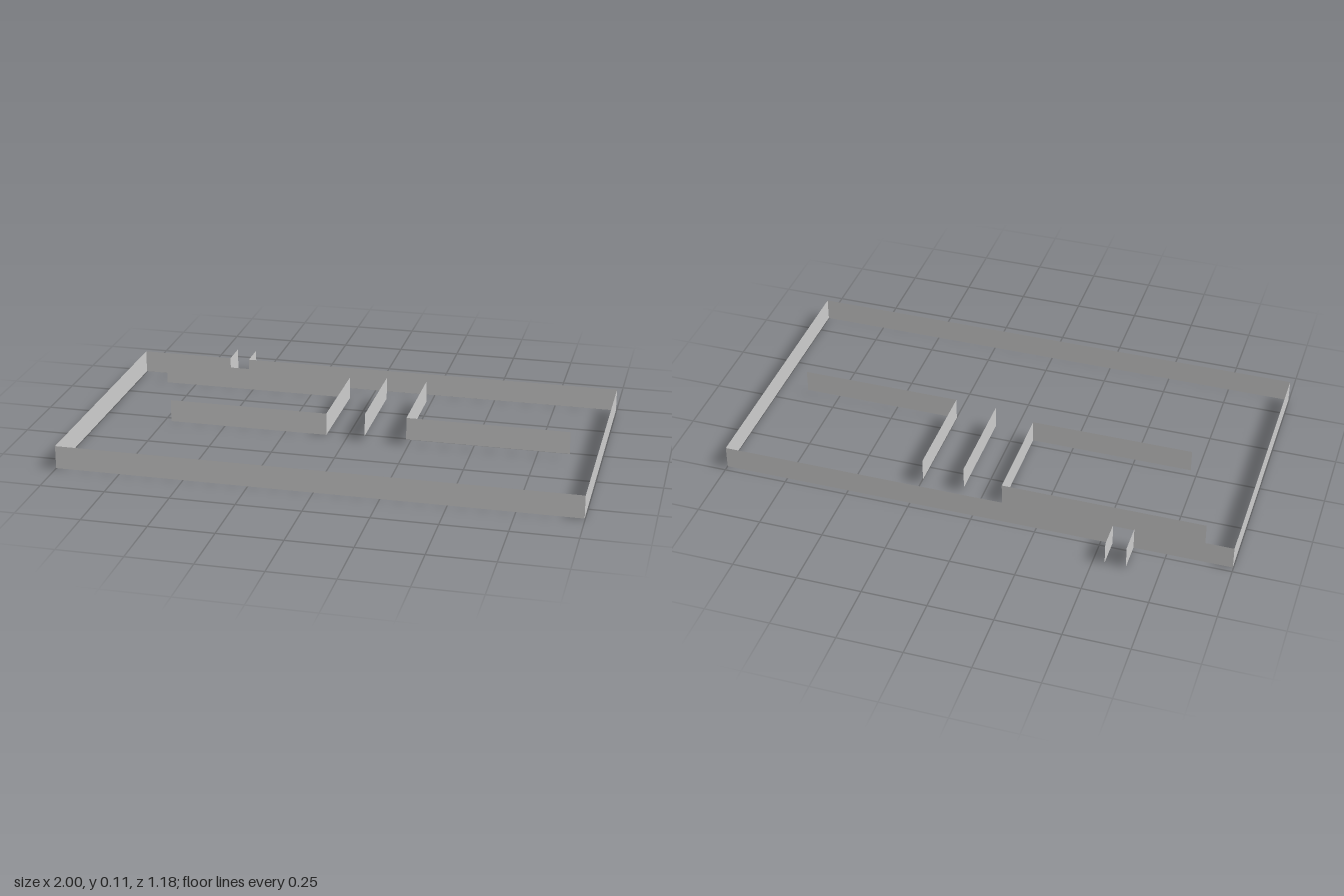
import * as THREE from 'three';

const material = new THREE.MeshStandardMaterial({
  color: 0xcccccc, flatShading: true, side: THREE.DoubleSide,
});
const HEIGHT = 0.09;

// Upright paper-thin wall following a floor-plan path of [x, z] points
function wall(name, base, path) {
  const positions = [];
  for (let i = 0; i < path.length - 1; i++) {
    const [x0, z0] = path[i], [x1, z1] = path[i + 1];
    const top = base + HEIGHT;
    positions.push(
      x0, base, z0, x1, base, z1, x1, top, z1,
      x0, base, z0, x1, top, z1, x0, top, z0,
    );
  }
  const geometry = new THREE.BufferGeometry();
  geometry.setAttribute('position', new THREE.Float32BufferAttribute(positions, 3));
  geometry.computeVertexNormals();
  const mesh = new THREE.Mesh(geometry, material);
  mesh.name = name;
  return mesh;
}

export function createModel() {
  const group = new THREE.Group();
  group.name = 'floorPlanWalls';
  group.add(
    // Perimeter with a narrow entrance passage at the back
    wall('outerWall', 0.003, [
      [-0.625, -0.592], [-0.625, -0.48], [-0.998, -0.48], [-0.998, 0.59],
      [0.998, 0.59], [0.998, -0.48], [-0.545, -0.48], [-0.545, -0.592],
    ]),
    // U-shaped partition, open to the right
    wall('uPartition', 0, [
      [-0.873, -0.38], [-0.085, -0.38], [-0.085, 0.032], [-0.723, 0.032],
    ]),
    // Free-standing divider
    wall('divider', 0.021, [[0.075, -0.353], [0.075, 0.056]]),
    // L-shaped partition
    wall('lPartition', 0.021, [[0.24, -0.353], [0.24, 0.056], [0.877, 0.056]]),
  );
  return group;
}
